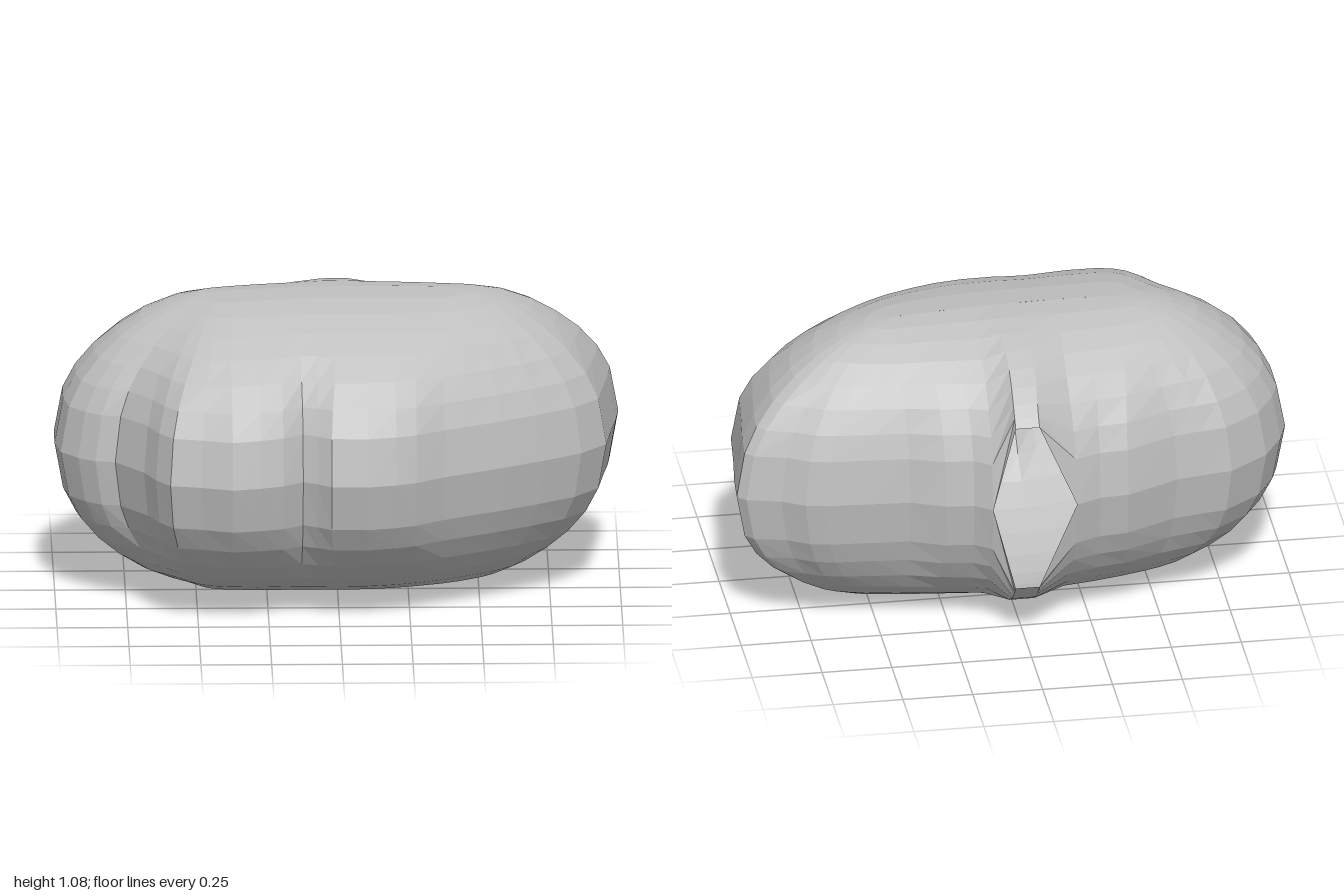
import * as THREE from 'three';

// Plan outline [x, z], starting beside the rear opening and running round by the left side
const OUTLINE = [
  [0.12, -0.645], [0.18, -0.6], [0.28, -0.59], [0.4, -0.54], [0.55, -0.53], [0.7, -0.52],
  [0.77, -0.505], [0.85, -0.46], [0.97, -0.43], [1, -0.4], [0.99, -0.28], [0.97, -0.13],
  [0.95, 0.05], [0.86, 0.17], [0.72, 0.27], [0.58, 0.36], [0.44, 0.44], [0.37, 0.48],
  [0.27, 0.555], [0.2, 0.585], [0.1, 0.61], [-0.03, 0.605], [-0.08, 0.565], [-0.13, 0.535],
  [-0.2, 0.59], [-0.28, 0.62], [-0.38, 0.645], [-0.49, 0.605], [-0.6, 0.58], [-0.65, 0.5],
  [-0.69, 0.4], [-0.79, 0.26], [-0.86, 0.245], [-0.92, 0.2], [-0.98, 0.12], [-1, 0],
  [-1, -0.16], [-0.97, -0.25], [-0.9, -0.37], [-0.76, -0.475], [-0.66, -0.49], [-0.56, -0.51],
  [-0.37, -0.6], [-0.27, -0.607], [-0.18, -0.645], [-0.045, -0.645], [0.04, -0.645],
];
const N = OUTLINE.length;
const RINGS = 8;
const HALF_HEIGHT = 0.54;
const SPINE = 0.4; // half length of the ridge line along the top
const OPENING_T = 0.81; // the last two columns stop short and leave the opening

// Averages neighbouring points so that the edge lobes fade out over the dome
function smoothLoop(points, passes) {
  let p = points;
  for (let k = 0; k < passes; k++) {
    p = p.map((v, i) => v.map((c, a) => (p[(i + N - 1) % N][a] + 2 * c + p[(i + 1) % N][a]) / 4));
  }
  return p;
}

// One half of the shell: side = 1 for the top, -1 for the underside.
// Each column runs from the nearest point of the ridge to the outline on an elliptical curve.
function halfShell(side) {
  const { lerp, clamp, smoothstep } = THREE.MathUtils;
  const soft = smoothLoop(OUTLINE, 3);
  const positions = [];
  for (let j = 0; j <= RINGS; j++) {
    // even steps over the dome, then one wide facet down to the seam
    const angle = j < RINGS ? (j / (RINGS - 1)) * 72 : 90;
    const s = Math.sin(THREE.MathUtils.degToRad(angle));
    const blend = smoothstep(s, 0.55, 1);
    OUTLINE.forEach(([x, z], i) => {
      const sx = clamp(x, -SPINE, SPINE);
      const sz = -0.11 - 0.05 * sx;
      const top = HALF_HEIGHT - 0.06 * sx * sx;
      const t = s * (i >= N - 2 ? OPENING_T : 1);
      const h = top * Math.sqrt(Math.max(0, 1 - t * t));
      positions.push(
        lerp(sx, lerp(soft[i][0], x, blend), s),
        HALF_HEIGHT + side * h,
        lerp(sz, lerp(soft[i][1], z, blend), s),
      );
    });
  }
  const index = [];
  const face = (a, b, c) => (side > 0 ? index.push(a, b, c) : index.push(a, c, b));
  for (let j = 0; j < RINGS; j++) {
    for (let i = 0; i < N; i++) {
      const n = (i + 1) % N, a = j * N, b = a + N;
      face(a + i, a + n, b + n);
      face(a + i, b + n, b + i);
    }
  }
  const geometry = new THREE.BufferGeometry();
  geometry.setAttribute('position', new THREE.Float32BufferAttribute(positions, 3));
  geometry.setIndex(index);
  geometry.computeVertexNormals();
  return geometry;
}

export function createModel() {
  const group = new THREE.Group();
  group.name = 'hollowPebble';
  const stone = new THREE.MeshStandardMaterial({ color: 0xbfbfbf });
  stone.name = 'light grey';
  stone.flatShading = true;
  stone.side = THREE.DoubleSide;

  for (const [name, side] of [['upperShell', 1], ['lowerShell', -1]]) {
    const mesh = new THREE.Mesh(halfShell(side), stone);
    mesh.name = name;
    group.add(mesh);
  }
  return group;
}
